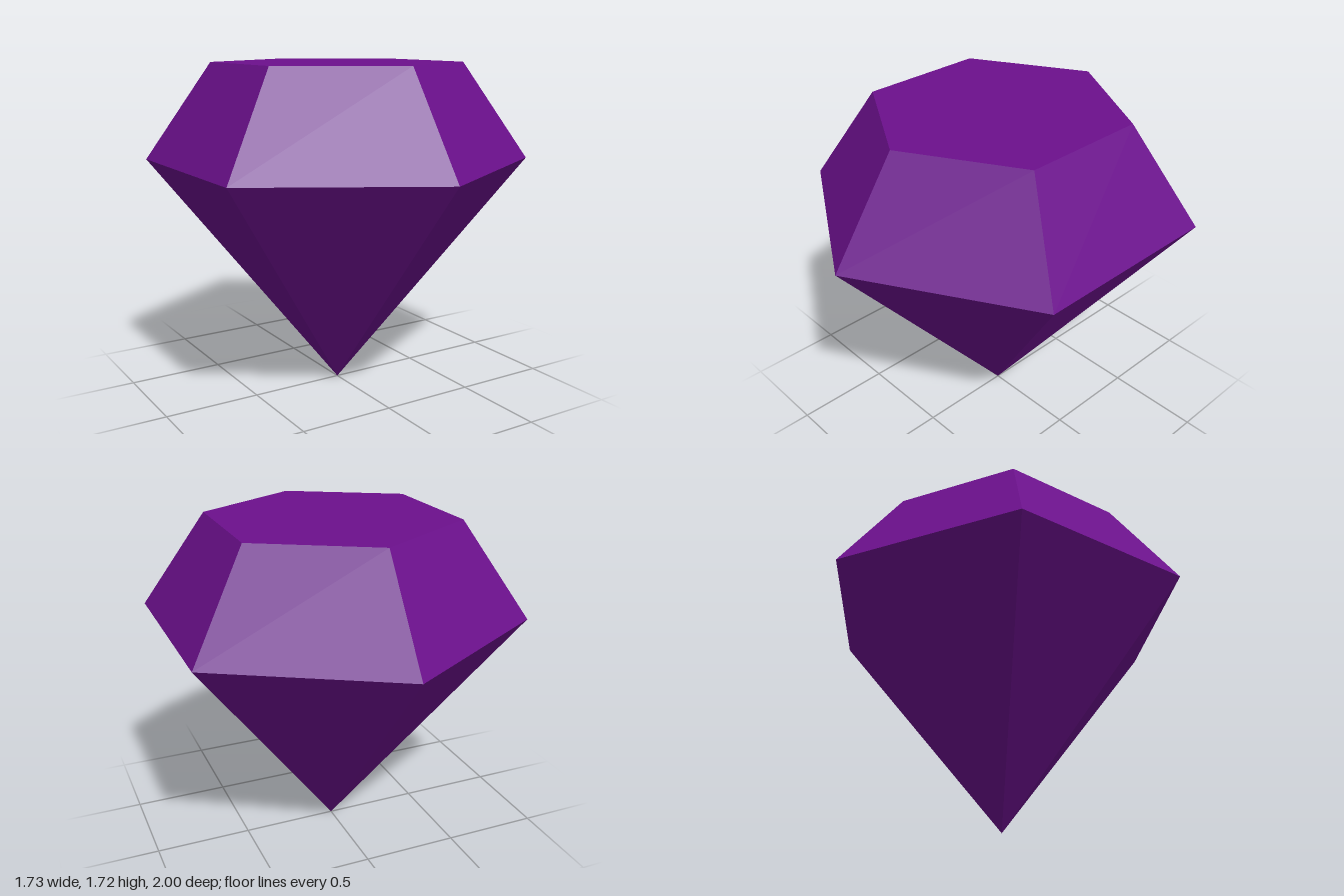
import * as THREE from 'three';

const SIDES = 6;
const GIRDLE_Y = 1.22, TOP_Y = 1.72;
const GIRDLE_R = 1, TABLE_R = 0.65;

export function createModel() {
  const gem = new THREE.Group();
  gem.name = 'gem';

  const purple = new THREE.MeshStandardMaterial({ color: 0x6c108d });
  purple.name = 'purple';
  purple.flatShading = true;

  const add = (name, geometry, y) => {
    const mesh = new THREE.Mesh(geometry, purple);
    mesh.name = name;
    mesh.position.y = y;
    gem.add(mesh);
  };

  // Pointed lower half, with corners on the z axis
  add('pavilion', new THREE.ConeGeometry(GIRDLE_R, GIRDLE_Y, SIDES, 1, true).rotateX(Math.PI), GIRDLE_Y / 2);

  // Sloping upper facets
  const crownHeight = TOP_Y - GIRDLE_Y;
  add('crown', new THREE.CylinderGeometry(TABLE_R, GIRDLE_R, crownHeight, SIDES, 1, true), GIRDLE_Y + crownHeight / 2);

  // Flat hexagonal top
  add('table', new THREE.CircleGeometry(TABLE_R, SIDES, Math.PI / 2).rotateX(-Math.PI / 2), TOP_Y);

  return gem;
}
